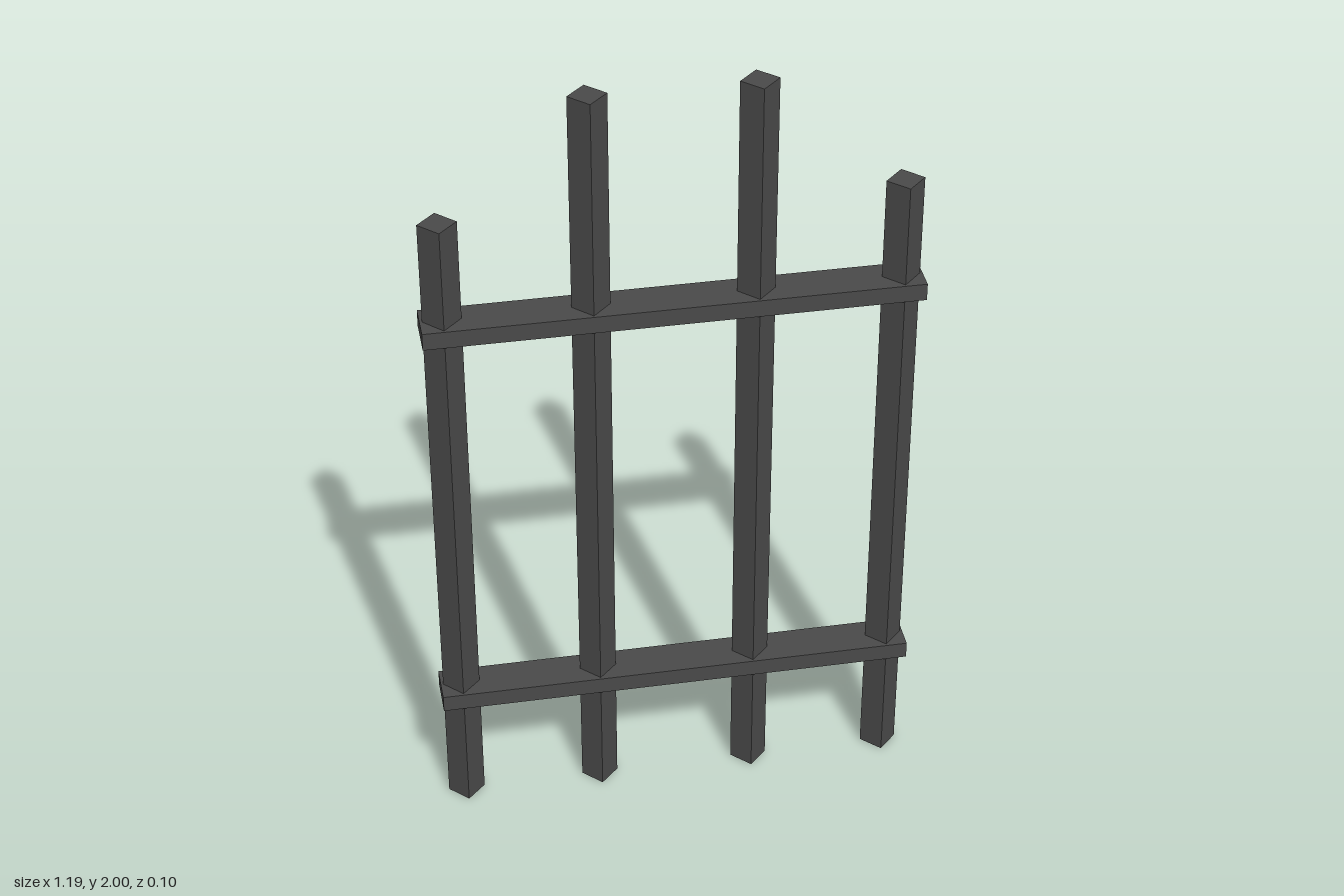
import * as THREE from 'three';

export function createModel() {
  const group = new THREE.Group();
  const iron = new THREE.MeshStandardMaterial({ color: 0x4a4a4a });
  iron.name = 'dark iron';

  const addBox = (name, size, position, turn = 0) => {
    const mesh = new THREE.Mesh(new THREE.BoxGeometry(...size), iron);
    mesh.name = name;
    mesh.position.set(...position);
    mesh.rotation.y = turn;
    group.add(mesh);
  };

  // Upright square bars, turned edge-on; the inner pair is taller
  const barSide = 0.092 / Math.SQRT2;
  const bars = [['outerBar', 0.544, 1.705], ['innerBar', 0.196, 2]];
  for (const [name, x, height] of bars) {
    for (const side of [-1, 1]) {
      addBox(name + (side > 0 ? 'Left' : 'Right'),
        [barSide, height, barSide], [side * x, height / 2, 0], Math.PI / 4);
    }
  }

  // Flat horizontal rails that the bars pass through
  addBox('lowerRail', [1.192, 0.044, 0.104], [0, 0.332, 0]);
  addBox('upperRail', [1.192, 0.044, 0.104], [0, 1.422, 0]);

  return group;
}
